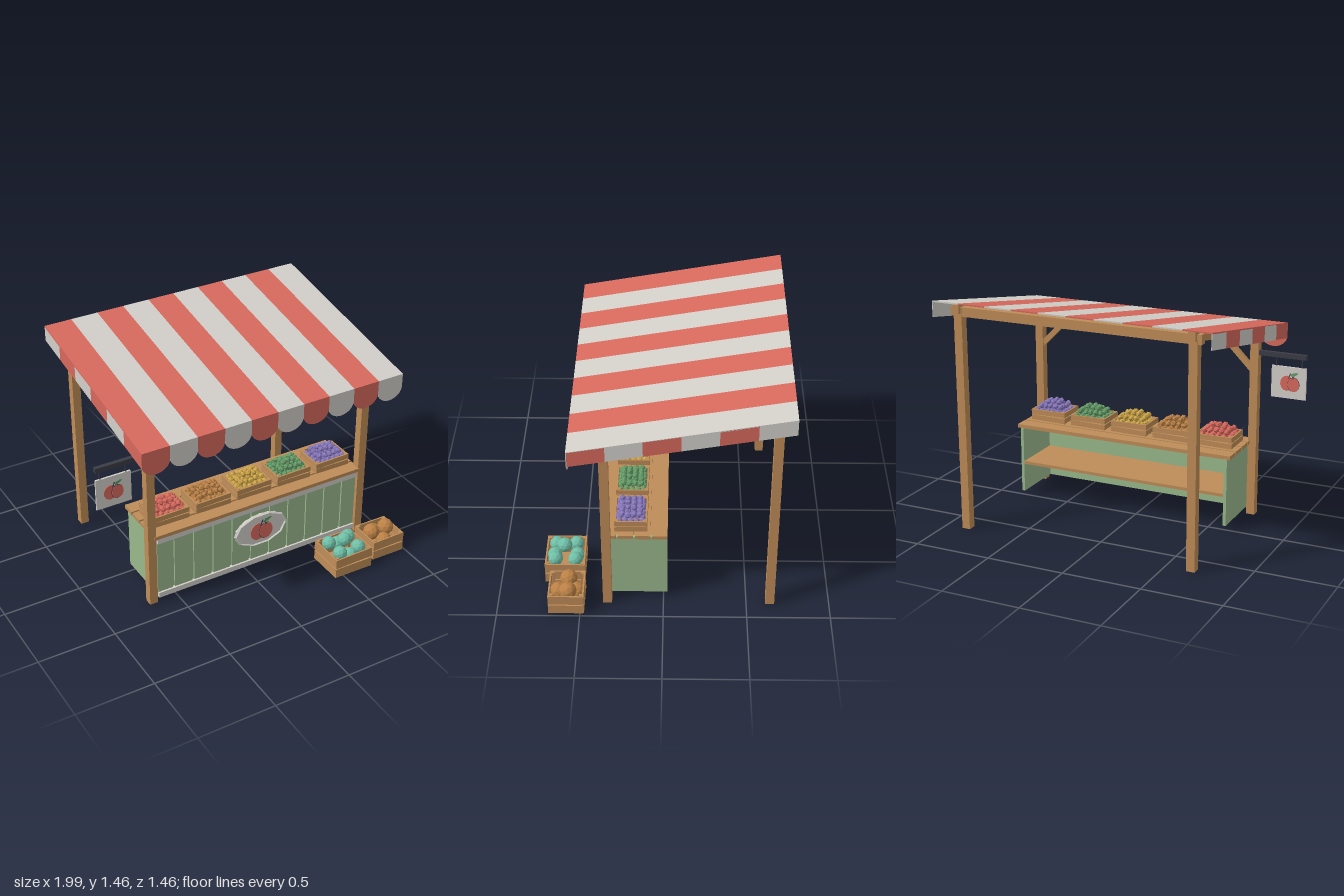
import * as THREE from 'three';

const mat = (name, color, side = THREE.FrontSide) => {
  const m = new THREE.MeshStandardMaterial({ color, flatShading: true, side });
  m.name = name;
  return m;
};
const M = {
  wood: mat('wood', 0xbf8d58),
  red: mat('red', 0xd8695d),
  white: mat('offWhite', 0xd3d0ca),
  green: mat('paintedGreen', 0x9ab98c),
  dark: mat('darkMetal', 0x3a3b45),
  teal: mat('melonTeal', 0x6fbfa6),
  yellow: mat('yellow', 0xcda548),
  purple: mat('purple', 0x8878bd),
  leaf: mat('leafGreen', 0x659c68),
  brown: mat('rootBrown', 0xbb8146),
};
const CX = 0.097;                                   // stall centre line
const SLOPE = 0.23 / 1.265;
const roofY = z => 1.23 + (0.535 - z) * SLOPE;      // roof height over depth

function add(parent, name, geo, material, x = 0, y = 0, z = 0) {
  const m = new THREE.Mesh(geo, material);
  m.name = name;
  m.position.set(x, y, z);
  parent.add(m);
  return m;
}
// box given by its extents
const box = (p, name, material, x0, x1, y0, y1, z0, z1) =>
  add(p, name, new THREE.BoxGeometry(x1 - x0, y1 - y0, z1 - z0), material, (x0 + x1) / 2, (y0 + y1) / 2, (z0 + z1) / 2);
// box that follows the roof slope, hanging from drop to drop + h below it
function slopedBox(p, name, material, x0, x1, z0, z1, drop, h) {
  const geo = new THREE.BoxGeometry(x1 - x0, h, z1 - z0);
  const a = geo.attributes.position, zc = (z0 + z1) / 2;
  for (let i = 0; i < a.count; i++) a.setY(i, a.getY(i) - a.getZ(i) * SLOPE);
  geo.computeVertexNormals();
  return add(p, name, geo, material, (x0 + x1) / 2, roofY(zc) - drop - h / 2, zc);
}
function group(parent, name) {
  const g = new THREE.Group();
  g.name = name;
  parent.add(g);
  return g;
}
function seeded(s) {
  return () => (s = (s * 16807) % 2147483647) / 2147483647;
}

function buildCanopy(root) {
  const g = group(root, 'canopy');
  const w = 0.1795, x0 = CX - 5 * w;
  for (let i = 0; i < 10; i++) {
    const m = i % 2 ? M.white : M.red, x = x0 + i * w;
    slopedBox(g, 'roofStripe', m, x, x + w, -0.73, 0.535, 0, 0.008);
    // scalloped front flap
    const r = w / 2, s = new THREE.Shape();
    s.moveTo(-r, 0);
    s.lineTo(-r, -0.085);
    s.absellipse(0, -0.085, r, 0.075, Math.PI, 2 * Math.PI, false);
    s.lineTo(r, 0);
    add(g, 'scallop', new THREE.ExtrudeGeometry(s, { depth: 0.005, bevelEnabled: false, curveSegments: 8 }), m, x + r, 1.23, 0.53);
  }
  // striped side flaps
  for (const x of [x0, x0 + 10 * w - 0.005])
    for (let i = 0; i < 6; i++) {
      const z = 0.53 - i * 0.21;
      slopedBox(g, 'sideFlap', i % 2 ? M.white : M.red, x, x + 0.005, z - 0.21, z, 0.004, 0.096);
    }
}

function buildFrame(root) {
  const g = group(root, 'frame');
  for (const s of [-1, 1]) {
    const x = CX + s * 0.761;
    for (const z of [0.338, -0.643])
      box(g, z > 0 ? 'frontPost' : 'backPost', M.wood, x - 0.027, x + 0.027, 0, roofY(z) - 0.025, z - 0.027, z + 0.027);
    slopedBox(g, 'sideBeam', M.wood, x - 0.022, x + 0.022, -0.69, 0.385, 0.012, 0.055);
    const brace = add(g, 'brace', new THREE.BoxGeometry(0.035, 0.3, 0.03), M.wood, x - s * 0.12, 1.062, 0.338);
    brace.rotation.z = s * Math.PI / 4;
  }
  for (const z of [0.338, -0.643])
    box(g, 'crossBeam', M.wood, CX - 0.81, CX + 0.81, roofY(z) - 0.08, roofY(z) - 0.022, z - 0.022, z + 0.022);
}

// pair of apples with stems and a leaf, facing +z
function buildApples(parent, x, y, z, size, turn = 0) {
  const g = group(parent, 'appleEmblem');
  const disc = (name, m, px, py, pz, rx, ry, tilt = 0) => {
    const d = add(g, name, new THREE.CylinderGeometry(1, 1, 0.004, 14), m, px, py, pz);
    d.rotation.set(Math.PI / 2, 0, tilt, 'ZXY');
    d.scale.set(rx, 1, ry);
  };
  disc('apple', M.red, -0.022, -0.006, 0.002, 0.054, 0.062);
  disc('appleOutline', M.dark, 0.034, -0.012, 0.003, 0.05, 0.06);
  disc('apple', M.red, 0.036, -0.012, 0.005, 0.048, 0.058);
  for (const [px, t] of [[0.002, -0.4], [0.03, 0.1]]) {
    const stem = add(g, 'stem', new THREE.BoxGeometry(0.006, 0.045, 0.004), M.dark, px, 0.058, 0.007);
    stem.rotation.z = t;
  }
  disc('leaf', M.leaf, 0.04, 0.073, 0.008, 0.032, 0.012, 0.35);
  g.position.set(x, y, z);
  g.rotation.y = turn;
  g.scale.set(size, size, 1);
}

function buildCounter(root) {
  const g = group(root, 'counter');
  const L = CX - 0.725, R = CX + 0.725;
  for (let i = 0; i < 4; i++) {
    const z = 0.37 - i * 0.1015;
    box(g, 'topPlank', M.wood, CX - 0.745, CX + 0.745, 0.474, 0.498, z - 0.09, z);
  }
  for (const x of [L, R - 0.02]) box(g, 'sidePanel', M.green, x, x + 0.02, 0.037, 0.473, -0.025, 0.345);
  box(g, 'frontPanel', M.green, L + 0.02, R - 0.02, 0.037, 0.473, 0.325, 0.343);
  // upright boards with grooves between them
  for (let i = 0; i < 11; i++) {
    const c = CX + (i - 5) * 0.1365;
    box(g, 'frontBoard', M.green, Math.max(L, c - 0.061), Math.min(R, c + 0.061), 0.06, 0.445, 0.342, 0.354);
  }
  box(g, 'topTrim', M.white, L, R, 0.437, 0.473, 0.343, 0.366);
  box(g, 'bottomTrim', M.white, L, R, 0.03, 0.066, 0.343, 0.366);
  box(g, 'shelf', M.wood, L + 0.02, R - 0.02, 0.225, 0.245, -0.02, 0.325);
  // oval badge with a raised rim
  const plate = add(g, 'badge', new THREE.CylinderGeometry(1, 1, 0.016, 10), M.white, CX, 0.29, 0.362);
  plate.rotation.x = Math.PI / 2;
  plate.scale.set(0.185, 1, 0.112);
  const rim = add(g, 'badgeRim', new THREE.TorusGeometry(1, 0.06, 4, 10), M.white, CX, 0.29, 0.367);
  rim.scale.set(0.183, 0.112, 0.2);
  buildApples(g, CX, 0.285, 0.371, 1);
}

function buildSign(root) {
  const g = group(root, 'hangingSign');
  box(g, 'signBar', M.dark, -1, -0.69, 1.06, 1.09, 0.32, 0.347);
  for (const x of [-0.97, -0.805]) box(g, 'hanger', M.dark, x - 0.003, x + 0.003, 1, 1.065, 0.33, 0.337);
  box(g, 'signBoard', M.white, -1, -0.775, 0.803, 1.005, 0.328, 0.34);
  buildApples(g, -0.893, 0.905, 0.34, 0.78);
  buildApples(g, -0.893, 0.905, 0.328, 0.78, Math.PI);
}

// slatted crate standing on its own origin
function buildCrate(parent, x, y, z, w, h, d) {
  const g = group(parent, 'crate'), t = 0.01;
  box(g, 'crateFloor', M.wood, -w / 2 + t, w / 2 - t, 0.003, 0.013, -d / 2 + t, d / 2 - t);
  for (const s of [-1, 1]) {
    for (let i = 0; i < 2; i++) {
      const y0 = h * (0.04 + i * 0.5), y1 = y0 + h * 0.44;
      add(g, 'longSlat', new THREE.BoxGeometry(w, y1 - y0, t), M.wood, 0, (y0 + y1) / 2, s * (d - t) / 2).rotation.z = s * (i - 0.5) * 0.03;
      add(g, 'endSlat', new THREE.BoxGeometry(t, y1 - y0, d - t), M.wood, s * (w - t) / 2, (y0 + y1) / 2, 0);
    }
    for (const q of [-1, 1])
      add(g, 'cornerPost', new THREE.BoxGeometry(0.018, h, 0.018), M.wood, s * (w / 2 - 0.018), h / 2, q * (d / 2 - 0.018));
  }
  g.position.set(x, y, z);
  return g;
}

function buildProduce(root) {
  const g = group(root, 'produce');
  const rnd = seeded(71);
  // five display crates heaped with small produce
  [M.red, M.brown, M.yellow, M.leaf, M.purple].forEach((m, k) => {
    const c = buildCrate(g, CX + (k - 2) * 0.2925, 0.498, 0.192, 0.245, 0.077, 0.195);
    [[6, 5, 0.064], [5, 4, 0.095], [3, 2, 0.12]].forEach(([nx, nz, y]) => {
      for (let i = 0; i < nx; i++)
        for (let j = 0; j < nz; j++) {
          const f = add(c, 'fruit', new THREE.IcosahedronGeometry(0.019, 0), m,
            (i - (nx - 1) / 2) * 0.037 + (rnd() - 0.5) * 0.008, y + (rnd() - 0.5) * 0.01, (j - (nz - 1) / 2) * 0.035);
          f.rotation.set(rnd() * 3, rnd() * 3, rnd() * 3);
          f.scale.y = 1.15;
        }
    });
  });
  // crates on the ground
  const a = buildCrate(g, 0.573, 0, 0.605, 0.272, 0.145, 0.245);
  for (const [x, y, z] of [[-0.07, 0.14, -0.062], [0.075, 0.14, -0.062], [-0.068, 0.14, 0.06], [0.07, 0.14, 0.06], [0, 0.188, 0.005],
    [0, 0.11, -0.07], [0, 0.11, 0.07]])
    add(a, 'melon', new THREE.IcosahedronGeometry(0.046, 1), M.teal, x, y, z).rotation.y = x * 20;
  const b = buildCrate(g, 0.868, 0, 0.582, 0.232, 0.14, 0.215);
  for (const [x, z] of [[-0.055, -0.01], [0.055, -0.01], [0, 0.05], [0, -0.06]])
    add(b, 'squash', new THREE.IcosahedronGeometry(0.054, 1), M.brown, x, z === -0.01 ? 0.135 : 0.085, z).rotation.y = x * 20;
}

export function createModel() {
  const root = new THREE.Group();
  root.name = 'marketStall';
  buildCanopy(root);
  buildFrame(root);
  buildCounter(root);
  buildSign(root);
  buildProduce(root);
  return root;
}
